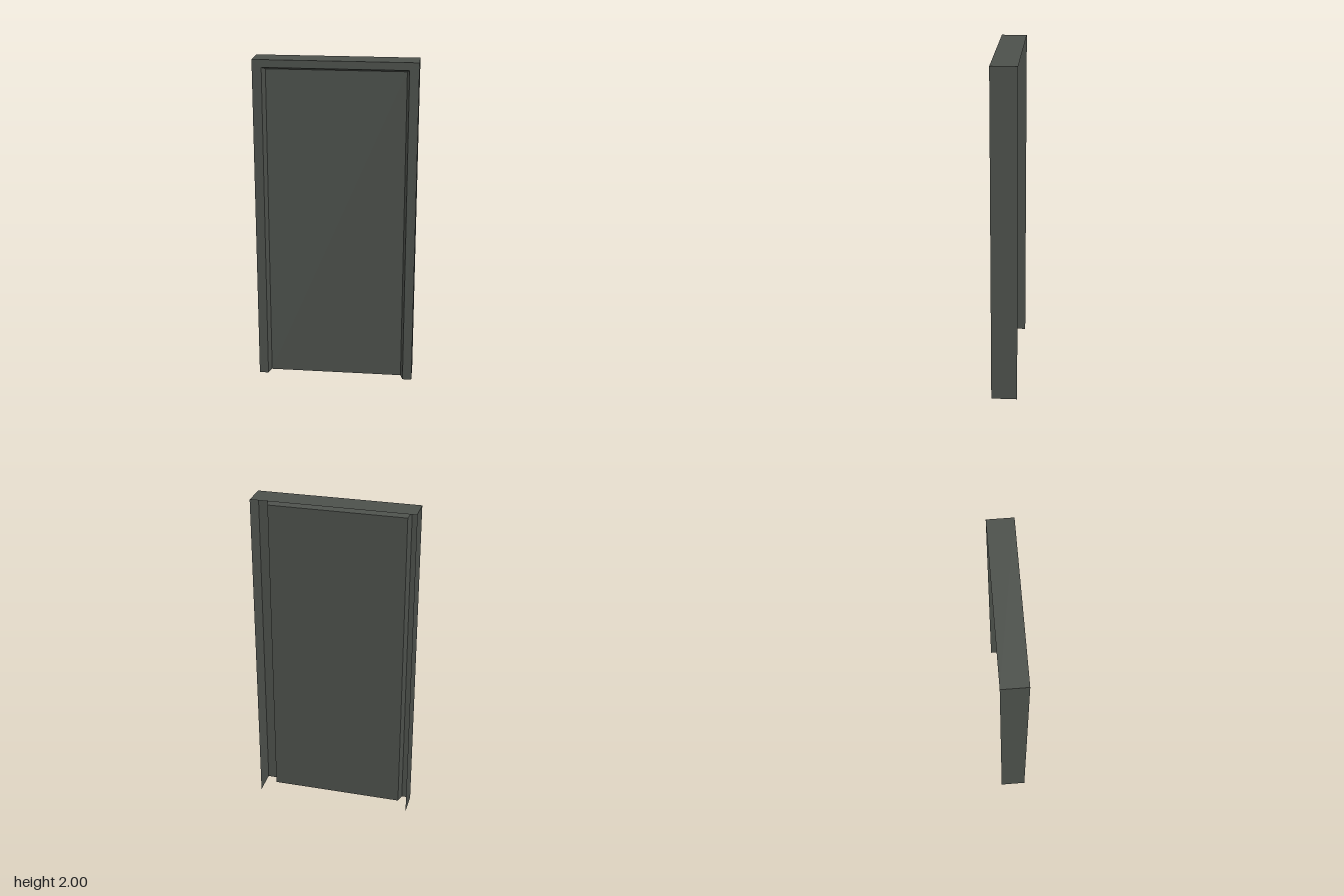
import * as THREE from 'three';

const darkGrey = new THREE.MeshStandardMaterial({ color: 0x4c504b, side: THREE.DoubleSide });
darkGrey.name = 'dark grey paint';

// Open-bottomed door outline: half width, height, depth position
const outline = (w, h, z) =>
  [[-w, 0], [-w, h], [w, h], [w, 0]].map(([x, y]) => new THREE.Vector3(x, y, z));

// Flat-shaded band of three panels (side, head, side) joining two outlines
function band(name, a, b) {
  const points = [];
  for (let i = 0; i < 3; i++) {
    points.push(a[i], b[i], b[i + 1], a[i], b[i + 1], a[i + 1]);
  }
  const geometry = new THREE.BufferGeometry().setFromPoints(points);
  geometry.computeVertexNormals();
  const mesh = new THREE.Mesh(geometry, darkGrey);
  mesh.name = name;
  return mesh;
}

export function createModel() {
  const group = new THREE.Group();
  group.name = 'door';

  const front = 0.077, recess = 0.025;
  const doorHalf = 0.41, doorTop = 1.937;

  const outerBack = outline(0.48, 2, -front);
  const outerFront = outline(0.48, 2, front);
  const innerFront = outline(0.425, 1.955, front);
  const doorEdge = outline(doorHalf, doorTop, recess);

  // Sheet frame, hollow and open at the back
  group.add(band('frameCasing', outerBack, outerFront));
  group.add(band('frameFace', outerFront, innerFront));
  group.add(band('frameReveal', innerFront, doorEdge));

  // Plain door leaf set back in the frame
  const leaf = new THREE.Mesh(new THREE.PlaneGeometry(2 * doorHalf, doorTop), darkGrey);
  leaf.position.set(0, doorTop / 2, recess);
  leaf.name = 'doorLeaf';
  group.add(leaf);

  return group;
}
